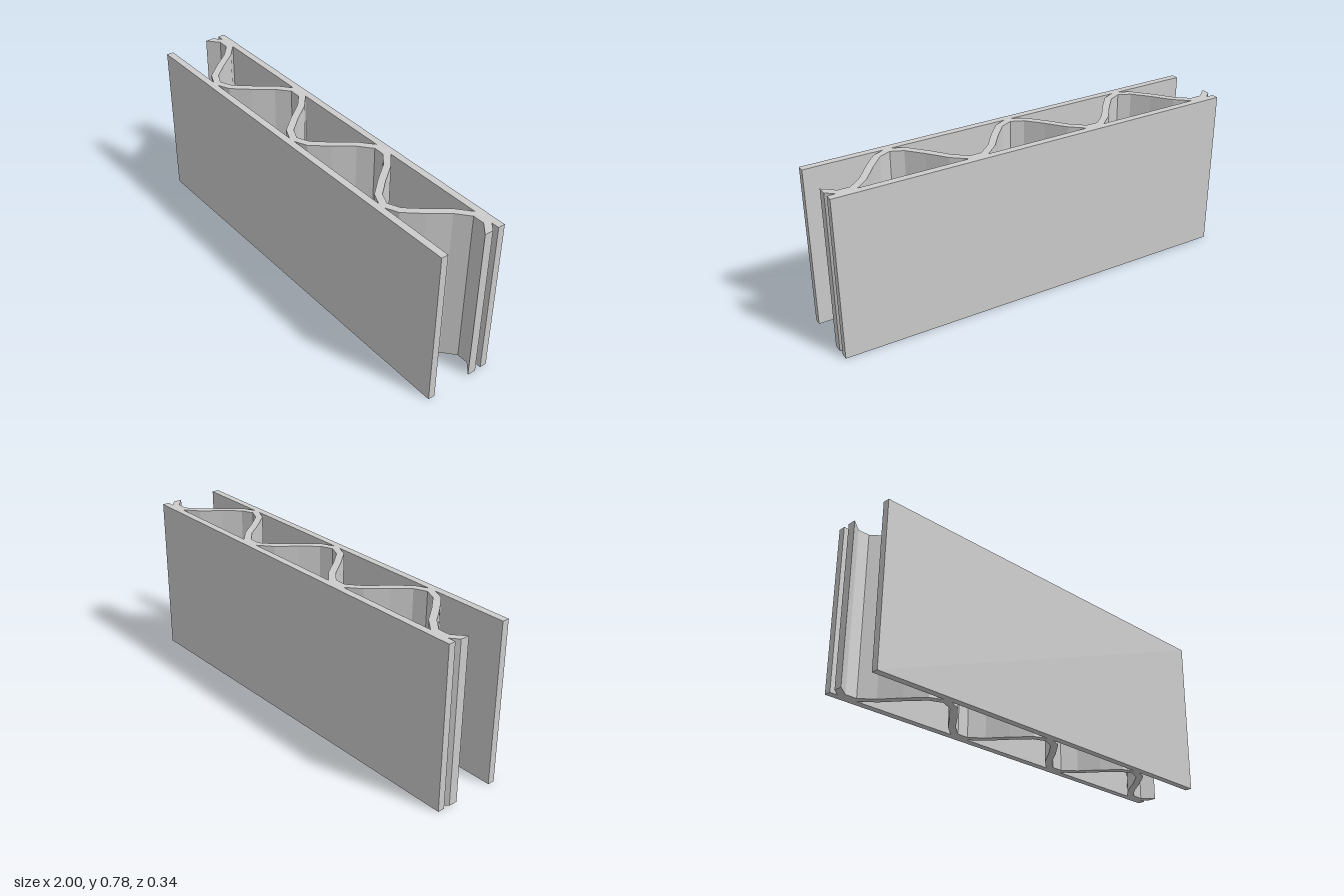
import * as THREE from 'three';

const HEIGHT = 0.78;      // y extent
const PLATE = 0.034;      // face sheet thickness
const DEPTH = 0.34;       // total z extent
const STEP = 0.61 / 9;    // nine straight facets per wave
const WEB = 0.033;        // corrugated sheet thickness

const material = new THREE.MeshStandardMaterial({ color: 0xcccccc, flatShading: true });

function waveAt(k) {
  return -0.004 + 0.13 * Math.cos((k * 2 * Math.PI) / 9);
}

// Centre line in (x, z), cut off at x = -1 and x = 1
function centreLine() {
  const points = [];
  const last = Math.floor(1 / STEP);
  const t = 1 / STEP - last;
  const endZ = THREE.MathUtils.lerp(waveAt(last), waveAt(last + 1), t);
  points.push(new THREE.Vector2(-1, endZ));
  for (let k = -last; k <= last; k++) points.push(new THREE.Vector2(k * STEP, waveAt(k)));
  points.push(new THREE.Vector2(1, endZ));
  return points;
}

// Mitred offset of the line; the two ends stay on their vertical cut
function offsetLine(points, distance) {
  const normals = points.slice(1).map((p, i) => {
    const d = p.clone().sub(points[i]).normalize();
    return new THREE.Vector2(-d.y, d.x);
  });
  return points.map((p, i) => {
    const a = normals[i - 1], b = normals[i];
    if (!a || !b) return new THREE.Vector2(p.x, p.y + distance / (a || b).y);
    const m = a.clone().add(b).multiplyScalar(distance / (1 + a.dot(b)));
    return m.add(p);
  });
}

export function createModel() {
  const group = new THREE.Group();
  group.name = 'corrugatedPanel';

  // Flat sheets at front and back
  for (const [name, side] of [['frontSheet', 1], ['backSheet', -1]]) {
    const sheet = new THREE.Mesh(new THREE.BoxGeometry(2, HEIGHT, PLATE), material);
    sheet.name = name;
    sheet.position.set(0, HEIGHT / 2, side * (DEPTH - PLATE) / 2);
    group.add(sheet);
  }

  // Wavy web between the sheets
  const line = centreLine();
  const outline = [...offsetLine(line, -WEB / 2), ...offsetLine(line, WEB / 2).reverse()];
  const geometry = new THREE.ExtrudeGeometry(new THREE.Shape(outline), {
    depth: HEIGHT, bevelEnabled: false,
  });
  geometry.rotateX(Math.PI / 2).translate(0, HEIGHT, 0);
  const web = new THREE.Mesh(geometry, material);
  web.name = 'corrugatedWeb';
  group.add(web);

  return group;
}
